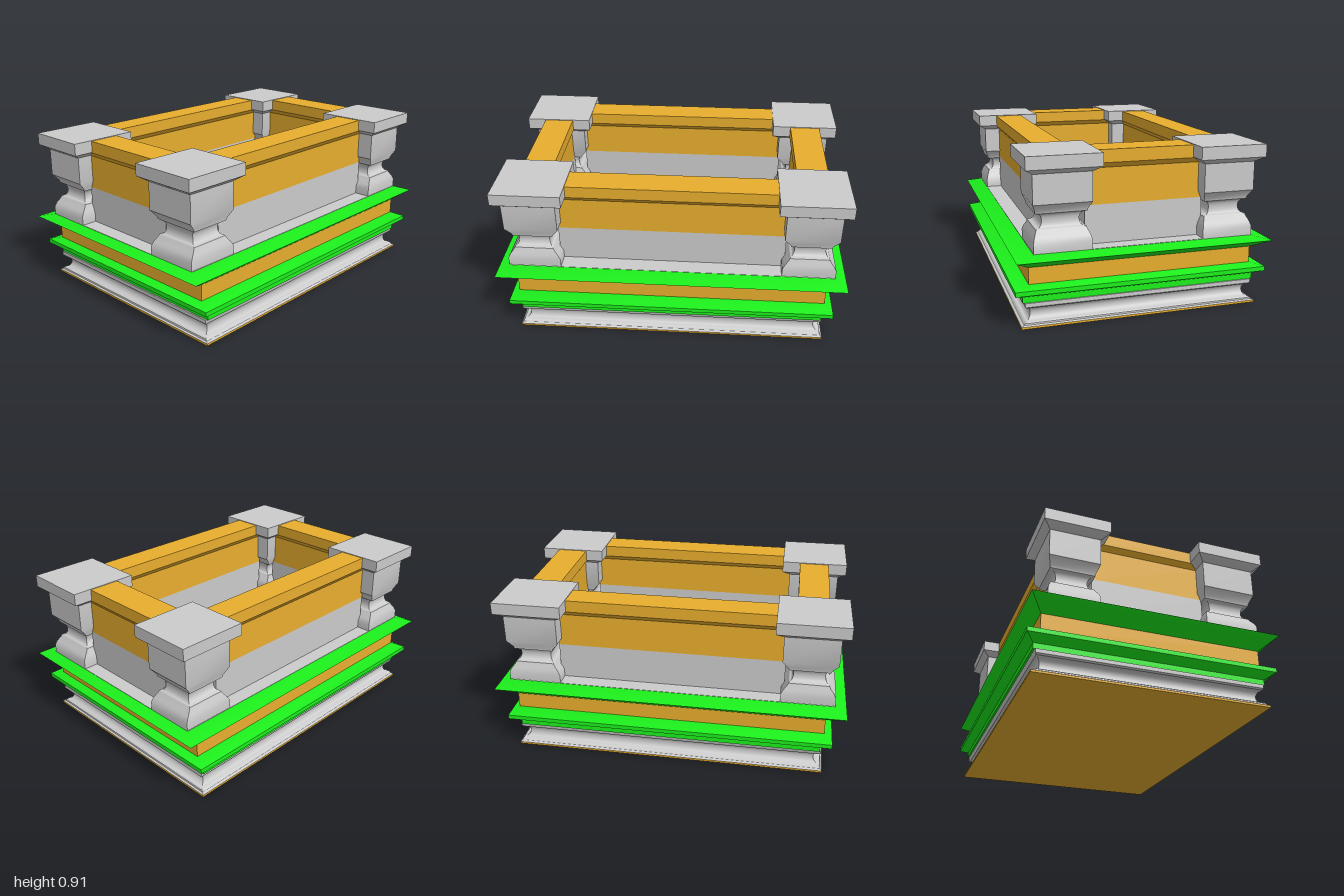
import * as THREE from 'three';
import { toCreasedNormals } from 'three/addons/utils/BufferGeometryUtils.js';

const grey = new THREE.MeshStandardMaterial({ color: 0xcccccc });
const amber = new THREE.MeshStandardMaterial({ color: 0xe8ae2e });
const green = new THREE.MeshStandardMaterial({ color: 0x1cf01c });

// Stacked rectangular rings: box = [x0, x1, z0, z1], profile = [y, inset in x, inset in z]
function moulding(name, material, [x0, x1, z0, z1], profile) {
  const pos = [], index = [];
  for (const [y, ix, iz] of profile) {
    pos.push(x0 + ix, y, z1 - iz, x1 - ix, y, z1 - iz, x1 - ix, y, z0 + iz, x0 + ix, y, z0 + iz);
  }
  for (let r = 0; r < profile.length - 1; r++) {
    for (let i = 0; i < 4; i++) {
      const a = r * 4 + i, b = r * 4 + (i + 1) % 4;
      index.push(a, b, b + 4, a, b + 4, a + 4);
    }
  }
  const t = (profile.length - 1) * 4;
  index.push(0, 2, 1, 0, 3, 2, t, t + 1, t + 2, t, t + 2, t + 3);
  const g = new THREE.BufferGeometry();
  g.setAttribute('position', new THREE.Float32BufferAttribute(pos, 3));
  g.setIndex(index);
  const mesh = new THREE.Mesh(toCreasedNormals(g, 0.6), material);
  mesh.name = name;
  return mesh;
}

// Hollow curve between two heights, sinking by depthX and depthZ
function scoop(yA, yB, ix, iz, depthX, depthZ, steps = 10) {
  return Array.from({ length: steps + 1 }, (_, i) => {
    const a = Math.PI * i / steps, s = Math.sin(a);
    return [(yA + yB) / 2 - Math.cos(a) * (yB - yA) / 2, ix + depthX * s, iz + depthZ * s];
  });
}

const block = (x, z) => [-x, x, -z, z];

export function createModel() {
  const model = new THREE.Group();

  // Base: stacked mouldings from the ground up
  const base = new THREE.Group();
  base.name = 'base';
  base.add(
    moulding('groundPlate', amber, block(0.66, 0.895), [[0, 0, 0], [0.012, 0, 0]]),
    moulding('scoopedPlinth', grey, block(0.66, 0.895), [
      [0.012, 0, 0], [0.018, 0.015, 0.01], [0.026, 0.02, 0.012],
      ...scoop(0.032, 0.105, 0.03, 0.02, 0.025, 0.033),
      [0.113, 0.025, 0.012], [0.135, 0.022, 0.012],
    ]),
    moulding('lowerLedge', green, block(0.695, 0.935), [
      [0.135, 0.047, 0.06], [0.168, 0.047, 0.06], [0.195, 0, 0], [0.22, 0, 0], [0.24, 0.075, 0.045],
    ]),
    moulding('middleBand', amber, block(0.618, 0.89), [[0.24, 0, 0], [0.33, 0, 0]]),
    moulding('upperLedge', green, block(0.695, 1), [
      [0.33, 0.077, 0.11], [0.388, 0, 0], [0.41, 0.095, 0.065],
    ]),
    moulding('floor', grey, block(0.6, 0.935), [[0.4, 0, 0], [0.412, 0, 0]]),
  );
  model.add(base);

  // Corner posts with scooped necks and flat caps
  const postProfile = [
    [0.41, 0, 0], [0.46, 0, 0], [0.485, 0.007, 0.014], [0.51, 0.018, 0.034],
    [0.522, 0.022, 0.04], ...scoop(0.526, 0.602, 0.03, 0.044, 0.026, 0.02),
    [0.606, 0.018, 0.038], [0.62, 0.016, 0.034], [0.66, 0, 0], [0.82, 0, 0],
  ];
  const capProfile = [[0.815, 0.042, 0.045], [0.844, 0, 0], [0.912, 0, 0]];
  for (const [x0, x1] of [[-0.64, -0.273], [0.249, 0.64]]) {
    for (const [z0, z1] of [[-0.98, -0.587], [0.587, 0.98]]) {
      const post = new THREE.Group();
      post.name = `${z0 > 0 ? 'front' : 'back'}${x0 > 0 ? 'Left' : 'Right'}Post`;
      post.add(
        moulding('postBody', grey, [x0 + 0.042, x1 - 0.042, z0 + 0.045, z1 - 0.045], postProfile),
        moulding('postCap', grey, [x0, x1, z0, z1], capProfile),
      );
      model.add(post);
    }
  }

  // Parapet walls: grey foot, amber body and a slightly wider amber coping
  const walls = [
    ['frontWall', [-0.337, 0.312, 0.693, 0.868], 0, 1],
    ['backWall', [-0.337, 0.312, -0.873, -0.693], 0, 1],
    ['leftWall', [0.36, 0.525, -0.65, 0.65], 1, 0],
    ['rightWall', [-0.535, -0.38, -0.65, 0.65], 1, 0],
  ];
  for (const [name, box, kx, kz] of walls) {
    const ring = (y, inset) => [y, kx * inset, kz * inset];
    const wall = new THREE.Group();
    wall.name = name;
    wall.add(
      moulding('wallFoot', grey, box, [ring(0.41, 0.022), ring(0.62, 0.022)]),
      moulding('wallBody', amber, box, [
        ring(0.62, 0.022), ring(0.812, 0.022), ring(0.84, 0), ring(0.908, 0),
      ]),
    );
    model.add(wall);
  }
  return model;
}
